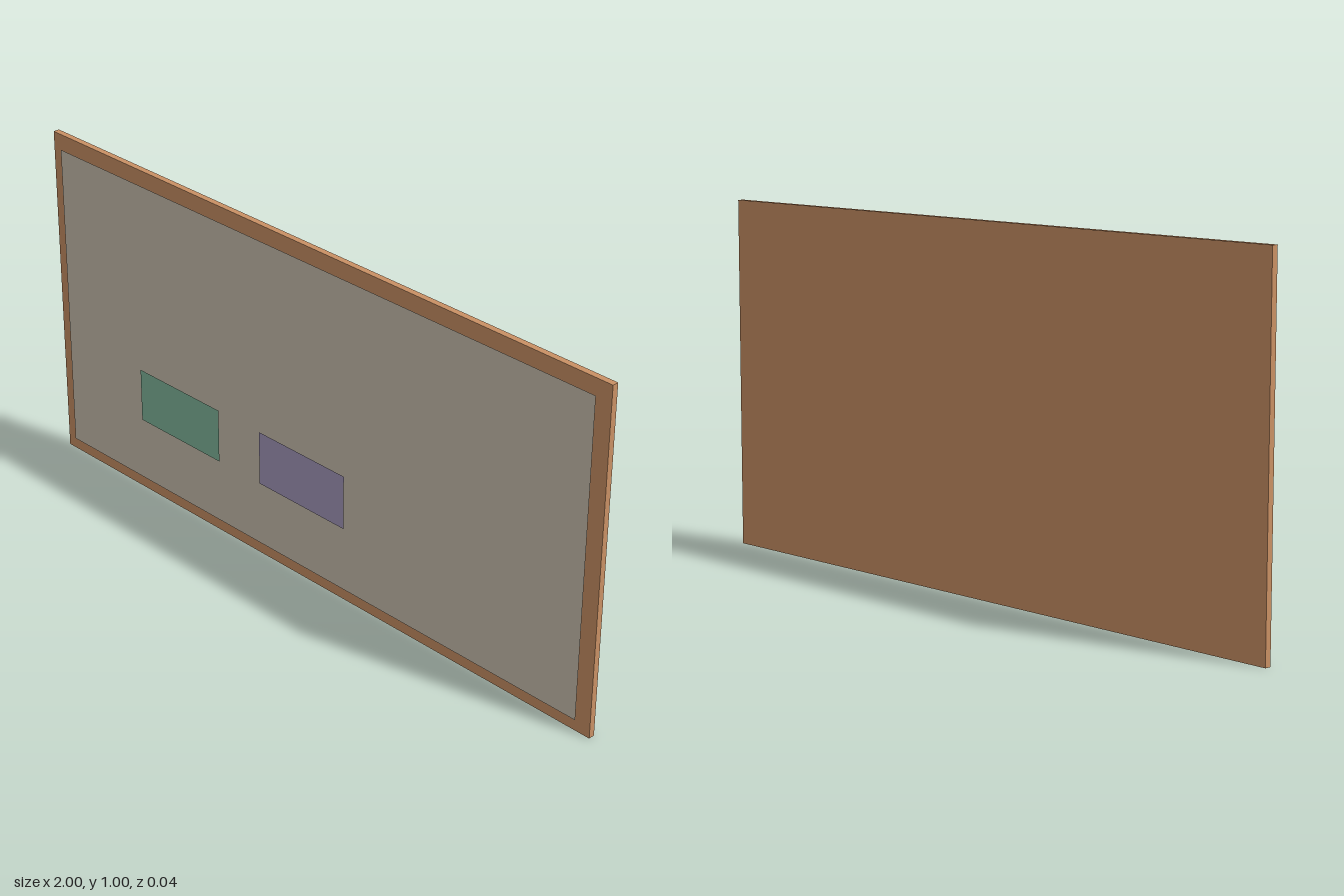
import * as THREE from 'three';

const material = (name, color) => {
  const m = new THREE.MeshStandardMaterial({ color, side: THREE.DoubleSide });
  m.name = name;
  return m;
};

export function createModel() {
  const group = new THREE.Group();
  group.name = 'noticeBoard';

  const add = (name, geometry, mat, x, y, z) => {
    const mesh = new THREE.Mesh(geometry, mat);
    mesh.name = name;
    mesh.position.set(x, y, z);
    group.add(mesh);
  };

  // Wooden backing whose border shows as the frame
  add('woodBacking', new THREE.BoxGeometry(2, 1, 0.018), material('wood', 0xc99064), 0, 0.5, -0.011);

  // Pale sheet floating just in front of the backing
  add('paleSheet', new THREE.PlaneGeometry(1.92, 0.92), material('paleGrey', 0xc8bfae), 0, 0.5, 0.008);

  // Two cards in front of the sheet
  const card = new THREE.PlaneGeometry(0.32, 0.16);
  add('greenCard', card, material('green', 0x80b69b), -0.48, 0.32, 0.02);
  add('purpleCard', card, material('purple', 0xa397bb), 0, 0.32, 0.02);

  return group;
}
